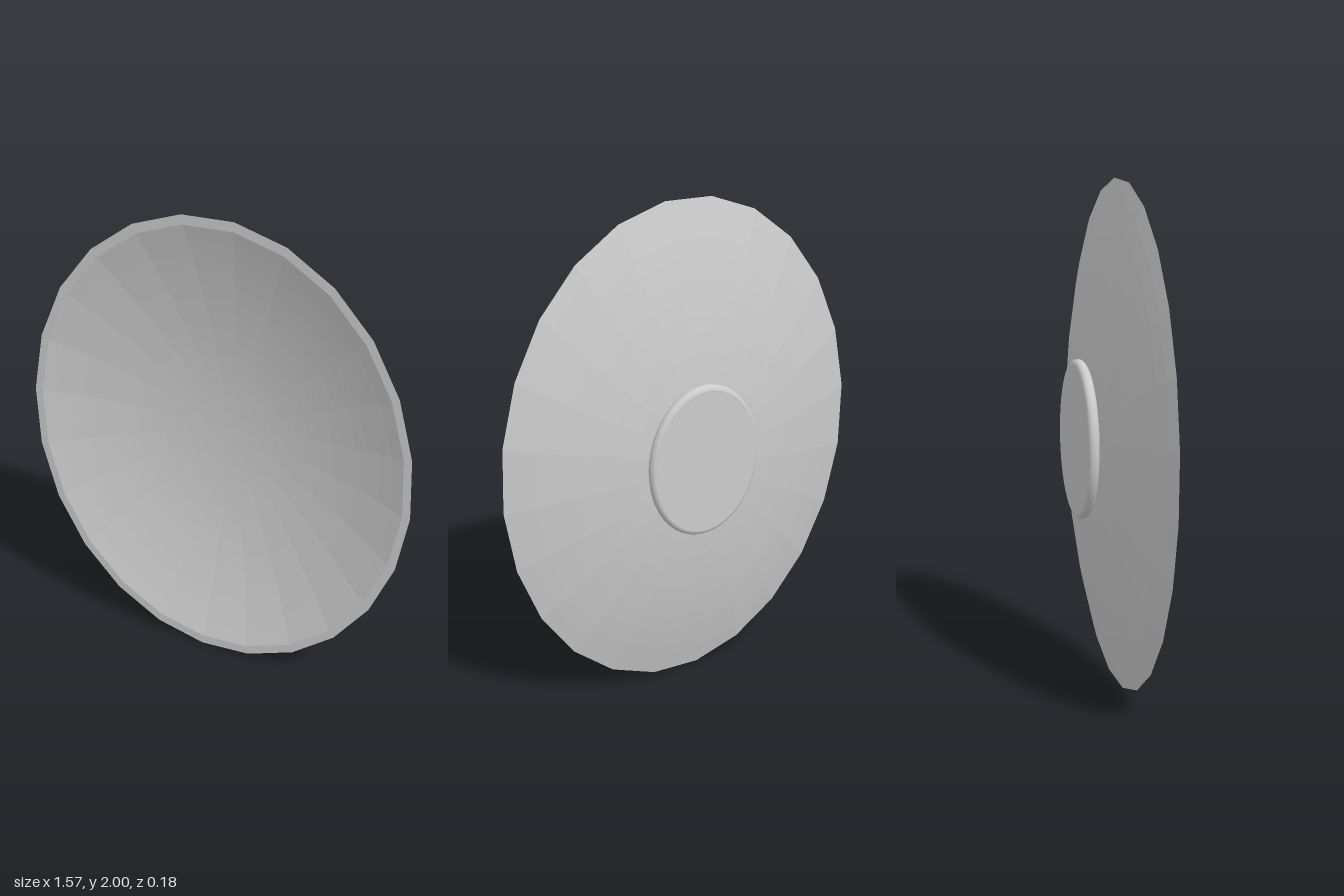
import * as THREE from 'three';

const RX = 0.79, RY = 1.004;

// Revolves a (radius, depth) profile about z and squashes it into an ellipse.
function ellipticalLathe(name, points, segments, phase, flatShading) {
  const geometry = new THREE.LatheGeometry(points, segments, phase);
  geometry.rotateX(Math.PI / 2);
  geometry.scale(RX, RY, 1);
  const mesh = new THREE.Mesh(geometry, new THREE.MeshStandardMaterial({ color: 0xcccccc, flatShading }));
  mesh.name = name;
  mesh.position.y = 1;
  return mesh;
}

export function createModel() {
  const group = new THREE.Group();
  group.name = 'dish';
  const v = (r, z) => new THREE.Vector2(r, z);
  const phase = THREE.MathUtils.degToRad(10);

  // Thin parabolic shell: back surface, flat rim, then the hollow front
  const rings = 14, shell = [];
  for (let i = 0; i <= rings; i++) {
    const r = i / rings;
    shell.push(v(r, -0.06 + 0.15 * r * r));
  }
  for (let i = rings; i >= 1; i--) {
    const r = 0.03 + 0.93 * (i / rings);
    shell.push(v(r, -0.048 + 0.15 * r * r));
  }
  // Small flat spot in the middle of the hollow
  shell.push(v(0.03, -0.0479), v(0, -0.0479));
  group.add(ellipticalLathe('dishShell', shell, 24, phase, true));

  // Rounded mounting ring on the back
  const ring = [];
  for (let i = 0; i <= 16; i++) {
    const a = -Math.PI / 2 + (i / 16) * Math.PI * 2;
    ring.push(v(0.29 + 0.021 * Math.cos(a), -0.069 + 0.021 * Math.sin(a)));
  }
  group.add(ellipticalLathe('mountRing', ring, 48, phase, false));

  // Flat plate closing the ring
  const plate = [v(0, -0.0895), v(0.288, -0.0895), v(0.288, -0.055), v(0, -0.055)];
  group.add(ellipticalLathe('mountPlate', plate, 48, phase, true));

  return group;
}
